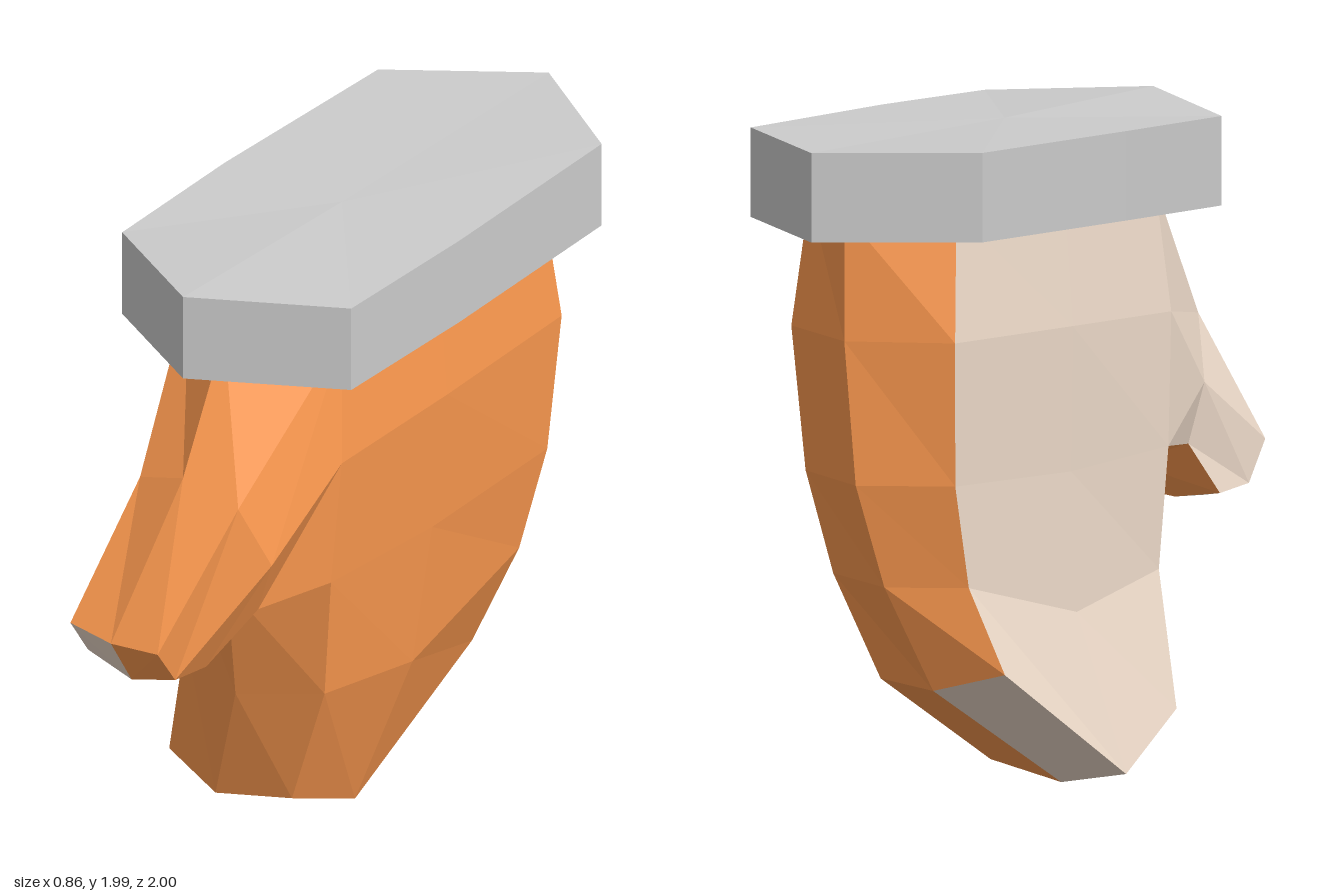
import * as THREE from 'three';

const ORANGE = 0xff9b50, PALM = 0xf0ddcc, GREY = 0xcccccc;

// Collects flat facets, then turns them into one mesh
class Facets {
  constructor() { this.pos = []; }
  tri(a, b, c) { this.pos.push(...a, ...b, ...c); }
  quad(a, b, c, d) { this.tri(a, b, c); this.tri(a, c, d); }
  mesh(name, color) {
    const g = new THREE.BufferGeometry();
    g.setAttribute('position', new THREE.Float32BufferAttribute(this.pos, 3));
    g.computeVertexNormals();
    const m = new THREE.Mesh(g, new THREE.MeshStandardMaterial({ color, flatShading: true }));
    m.name = name;
    return m;
  }
}

// Joins two rings column by column; pick(i) gives the Facets for a column, or null to leave it open
function loft(from, to, pick) {
  const n = from.length;
  for (let i = 0; i < n; i++) {
    const j = (i + 1) % n;
    pick(i)?.quad(from[i], to[i], to[j], from[j]);
  }
}

// Closes the end of a loft with a fan around a centre point
function cap(ring, centre, pick) {
  ring.forEach((p, i) => pick(i).tri(centre, ring[(i + 1) % ring.length], p));
}

// Rings run: front, right front, right middle, right back, back, left back, left middle, left front
// (right meaning the +x side)
const WRIST = [[0, 1.75, 0.57], [0.28, 1.74, 0.37], [0.28, 1.77, -0.1], [0.26, 1.79, -0.63],
  [0, 1.79, -0.83], [-0.26, 1.79, -0.63], [-0.28, 1.77, -0.1], [-0.28, 1.74, 0.37]];
const PALM_TOP = [[0, 1.36, 0.5], [0.31, 1.36, 0.41], [0.31, 1.385, -0.1], [0.29, 1.41, -0.68],
  [0, 1.41, -0.83], [-0.29, 1.41, -0.68], [-0.31, 1.385, -0.1], [-0.31, 1.36, 0.41]];
const PALM_LOW = [[-0.02, 0.91, 0.53], [0.27, 0.96, 0.41], [0.27, 0.95, -0.08], [0.26, 0.98, -0.65],
  [-0.02, 0.98, -0.8], [-0.27, 0.98, -0.65], [-0.29, 0.95, -0.08], [-0.3, 0.96, 0.41]];
const KNUCKLES = [[-0.05, 0.52, 0.45], [0.22, 0.57, 0.375], [0.22, 0.51, -0.05], [0.21, 0.67, -0.58],
  [-0.06, 0.67, -0.71], [-0.27, 0.67, -0.58], [-0.29, 0.53, -0.05], [-0.29, 0.6, 0.375]];
const FINGERTIPS = [[-0.18, 0.13, 0.375], [0.07, 0.17, 0.335], [0.07, 0.05, 0.03], [0.09, 0.36, -0.51],
  [-0.13, 0.35, -0.56], [-0.35, 0.41, -0.51], [-0.41, 0.05, 0.03], [-0.38, 0.2, 0.335]];

// Thumb rings run from the top centre down the +x side, then up the other side
const THUMB_BASE = [WRIST[0], WRIST[1], PALM_TOP[1], PALM_LOW[1],
  PALM_LOW[0], PALM_LOW[7], PALM_TOP[7], WRIST[7]];
const THUMB_JOINT = [[0, 1.36, 0.77], [0.18, 1.3, 0.74], [0.25, 1.11, 0.67], [0.17, 0.93, 0.63],
  [-0.02, 0.86, 0.61], [-0.22, 0.93, 0.63], [-0.25, 1.11, 0.67], [-0.18, 1.3, 0.74]];
const THUMB_TIP = [[-0.09, 0.885, 1], [0.07, 0.89, 0.985], [0.07, 0.775, 0.9], [0.07, 0.76, 0.75],
  [-0.09, 0.745, 0.75], [-0.25, 0.77, 0.75], [-0.25, 0.78, 0.9], [-0.25, 0.9, 0.985]];

function makeHand() {
  const skinSide = new Facets(), backSide = new Facets();
  const side = i => (i === 5 || i === 6 ? skinSide : backSide);
  const half = i => (i >= 4 ? skinSide : backSide);
  const open = i => (i === 0 || i === 7 ? null : side(i)); // the thumb fills the front

  // Palm and fingers
  loft(WRIST, PALM_TOP, open);
  loft(PALM_TOP, PALM_LOW, open);
  loft(PALM_LOW, KNUCKLES, side);
  loft(KNUCKLES, FINGERTIPS, side);
  cap(FINGERTIPS, [-0.18, 0.005, 0.03], half);

  // Thumb
  loft(THUMB_BASE, THUMB_JOINT, side);
  loft(THUMB_JOINT, THUMB_TIP, side);
  cap(THUMB_TIP, [-0.09, 0.73, 0.9], half);

  const hand = new THREE.Group();
  hand.name = 'hand';
  hand.add(backSide.mesh('handBack', ORANGE), skinSide.mesh('palm', PALM));
  return hand;
}

// Six-sided cuff, slightly tilted and bowed at the sides
function makeCuff() {
  const f = new Facets(), all = () => f;
  const half = [[0, 0.77, 1.95], [0.42, 0.51, 1.935], [0.43, 0, 1.96], [0.41, -0.715, 1.99], [0, -1, 1.99]];
  const outline = [...half, ...half.slice(1, 4).reverse().map(([x, z, y]) => [-x, z, y])];
  const top = outline.map(([x, z, y]) => [x, y, z]);
  const bottom = top.map(([x, y, z]) => [x, y - 0.265, z]);
  loft(top, bottom, all);
  cap(bottom, [0, 1.695, 0], all);
  cap([...top].reverse(), [0, 1.96, 0], all);
  return f.mesh('cuff', GREY);
}

export function createModel() {
  const model = new THREE.Group();
  model.name = 'cuffedHand';
  model.add(makeHand(), makeCuff());
  return model;
}
